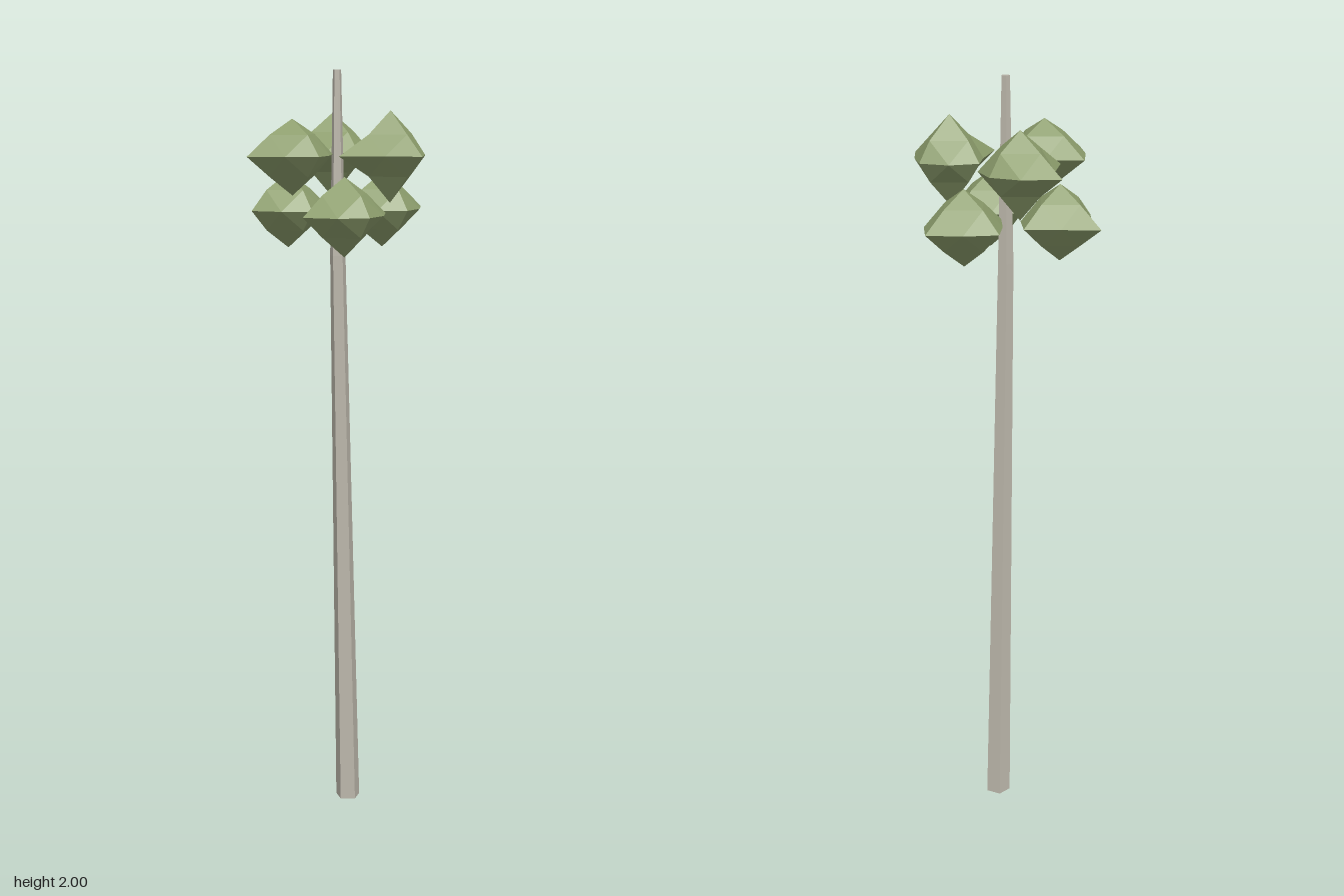
import * as THREE from 'three';

const bark = new THREE.MeshStandardMaterial({ color: 0xbdb8ac, flatShading: true });
const leaf = new THREE.MeshStandardMaterial({ color: 0x8c9d6c, flatShading: true });

// Five-sided trunk: leans up to the kink, then rises straight as a thin tip
function makeTrunk() {
  const rings = [ // x, y, z, radius
    [0.05, 0, -0.013, 0.034],
    [0.003, 1.53, 0.003, 0.021],
    [-0.004, 2, 0.009, 0.011],
  ];
  const geo = new THREE.CylinderGeometry(1, 1, 2, 5, 2);
  const p = geo.attributes.position;
  for (let i = 0; i < p.count; i++) {
    const [x, y, z, r] = rings[Math.round(p.getY(i)) + 1];
    p.setXYZ(i, x + p.getX(i) * r, y, z + p.getZ(i) * r);
  }
  geo.computeVertexNormals();
  const mesh = new THREE.Mesh(geo, bark);
  mesh.name = 'trunk';
  return mesh;
}

// Leaf clump: once-divided octahedron with its own reach along each axis
// tips: +x, -x, +z, -z, up, down; corners: equator offsets for ++, +-, -+, -- (x, z)
function makeClump({ at, tips, corners }) {
  const geo = new THREE.OctahedronGeometry(1, 1);
  const p = geo.attributes.position;
  for (let i = 0; i < p.count; i++) {
    const [x, y, z] = [p.getX(i), p.getY(i), p.getZ(i)].map((v) => (Math.abs(v) < 0.01 ? 0 : Math.sign(v)));
    const count = Math.abs(x) + Math.abs(y) + Math.abs(z);
    let r;
    if (count === 1) {
      r = x ? tips[x > 0 ? 0 : 1] : z ? tips[z > 0 ? 2 : 3] : tips[y > 0 ? 4 : 5];
      p.setXYZ(i, x * r, y * r, z * r);
    } else {
      r = y === 0 ? corners[(x > 0 ? 0 : 2) + (z > 0 ? 0 : 1)] : 0.068;
      p.setXYZ(i, x * r, y * 0.052, z * r);
    }
  }
  geo.computeVertexNormals();
  const mesh = new THREE.Mesh(geo, leaf);
  mesh.position.set(...at);
  return mesh;
}

const clumps = [
  // upper tier
  { at: [-0.14, 1.79, 0.005], tips: [0.125, 0.136, 0.117, 0.14, 0.09, 0.1], corners: [0.068, 0.066, 0.07, 0.075] },
  { at: [0.075, 1.79, -0.12], tips: [0.105, 0.143, 0.116, 0.14, 0.1, 0.12], corners: [0.073, 0.075, 0.08, 0.06] },
  { at: [0.075, 1.79, 0.129], tips: [0.104, 0.16, 0.129, 0.107, 0.11, 0.12], corners: [0.063, 0.069, 0.068, 0.06] },
  // lower tier
  { at: [-0.068, 1.645, -0.12], tips: [0.13, 0.114, 0.11, 0.14, 0.095, 0.1], corners: [0.07, 0.068, 0.068, 0.056] },
  { at: [-0.068, 1.645, 0.129], tips: [0.13, 0.127, 0.105, 0.115, 0.095, 0.105], corners: [0.07, 0.07, 0.075, 0.066] },
  { at: [0.146, 1.645, 0.005], tips: [0.13, 0.13, 0.107, 0.125, 0.095, 0.1], corners: [0.07, 0.072, 0.068, 0.068] },
];

export function createModel() {
  const tree = new THREE.Group();
  tree.name = 'tree';
  tree.add(makeTrunk());
  clumps.forEach((c, i) => {
    const clump = makeClump(c);
    clump.name = i < 3 ? `upperLeafClump${i + 1}` : `lowerLeafClump${i - 2}`;
    tree.add(clump);
  });
  return tree;
}
